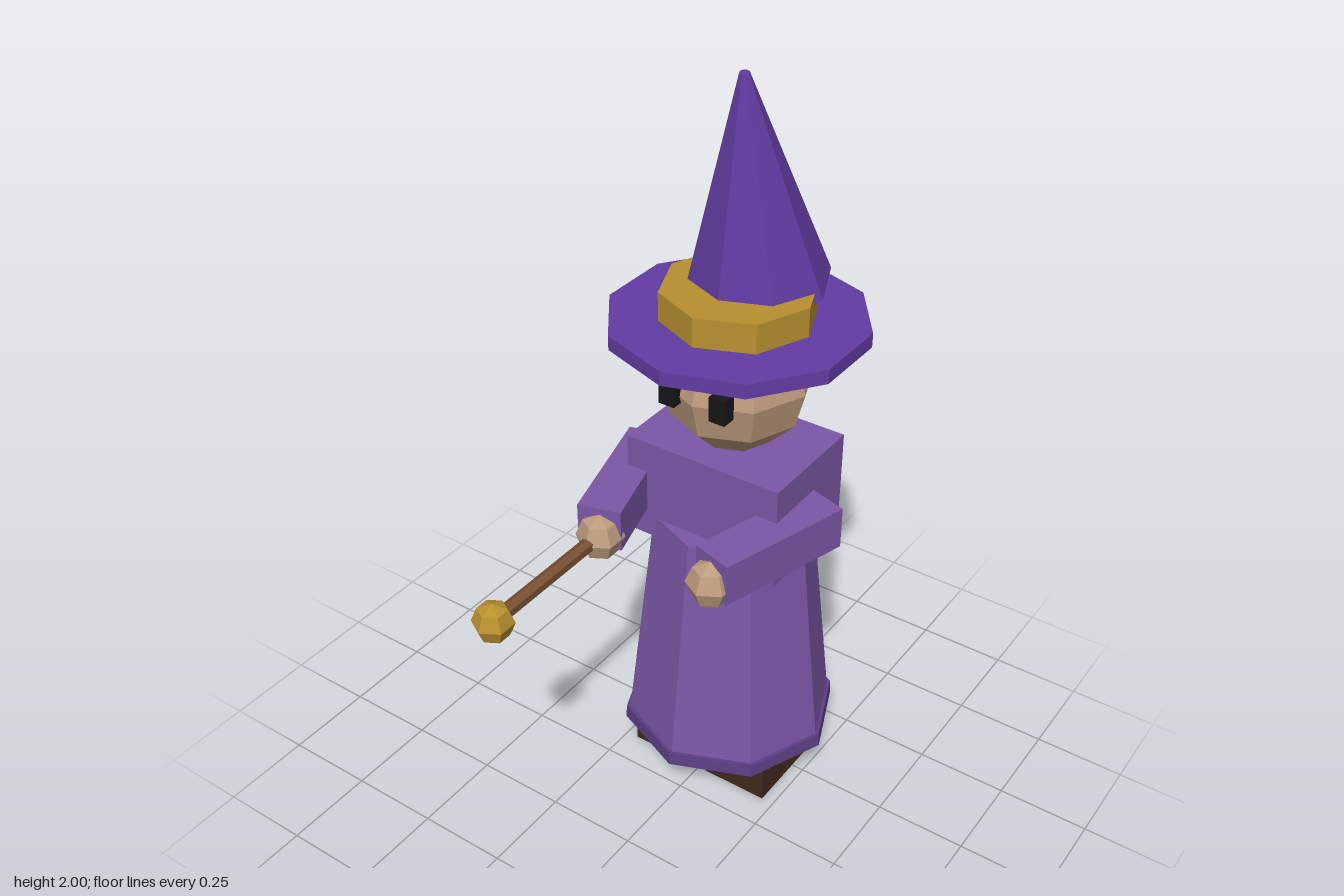
import * as THREE from 'three';

const AXIS_Z = -0.245; // the body's vertical axis

const paint = (color) => new THREE.MeshStandardMaterial({ color, flatShading: true });

export function createModel() {
  const model = new THREE.Group();
  const robe = paint(0x7b57a6), hem = paint(0x5c3f85), hat = paint(0x623ca3);
  const gold = paint(0xb8902f), skin = paint(0xbd9b7c), boot = paint(0x412a1d);
  const wood = paint(0x7a5232), black = paint(0x17171a);

  const add = (name, geometry, material, x, y, z, parent = model) => {
    const mesh = new THREE.Mesh(geometry, material);
    mesh.name = name;
    mesh.position.set(x, y, z);
    parent.add(mesh);
    return mesh;
  };
  const box = (w, h, d) => new THREE.BoxGeometry(w, h, d);
  const prism = (rTop, rBottom, h, sides) => new THREE.CylinderGeometry(rTop, rBottom, h, sides);
  // six-sided ball with a corner facing forward
  const ball = (r) => new THREE.SphereGeometry(r, 6, 4).rotateY(Math.PI / 2);

  // Robe
  add('torso', box(0.45, 0.285, 0.316), robe, 0, 0.907, AXIS_Z);
  add('skirt', prism(0.212, 0.287, 0.665, 8), robe, 0, 0.4925, AXIS_Z);
  add('hem', prism(0.296, 0.299, 0.038, 8), hem, 0, 0.149, AXIS_Z);

  // Head and hat
  add('head', new THREE.SphereGeometry(0.197, 8, 6), skin, 0, 1.235, AXIS_Z);
  add('hatBrim', prism(0.329, 0.329, 0.038, 10), hat, 0, 1.379, AXIS_Z);
  add('hatBand', prism(0.197, 0.197, 0.077, 8), gold, 0, 1.4365, AXIS_Z);
  const cone = add('hatCone', prism(0.012, 0.183, 0.552, 8), hat, 0, 1.7255, -0.286);
  cone.rotation.x = 0.15;

  // Mirrored parts
  for (const [side, s] of [['left', 1], ['right', -1]]) {
    add(side + 'Eye', box(0.045, 0.068, 0.04), black, s * 0.073, 1.249, -0.064);
    add(side + 'Leg', box(0.17, 0.12, 0.2), hem, s * 0.12, 0.12, -0.24);
    add(side + 'Boot', box(0.19, 0.12, 0.25), boot, s * 0.12, 0.06, -0.215);
    const sleeve = add(side + 'Sleeve', box(0.115, 0.115, 0.375), robe, s * 0.2195, 0.9025, -0.068);
    sleeve.rotation.y = -s * 0.28;
    add(side + 'Hand', ball(0.063), skin, s * 0.166, 0.88, 0.111);
  }

  // Wand held in the right hand
  const wand = new THREE.Group();
  wand.name = 'wand';
  wand.position.set(-0.167, 0.88, 0);
  model.add(wand);
  add('wandShaft', prism(0.019, 0.019, 0.42, 6).rotateX(Math.PI / 2), wood, 0, 0, 0.3, wand);
  add('wandTip', ball(0.053), gold, 0, 0, 0.521, wand);

  return model;
}
